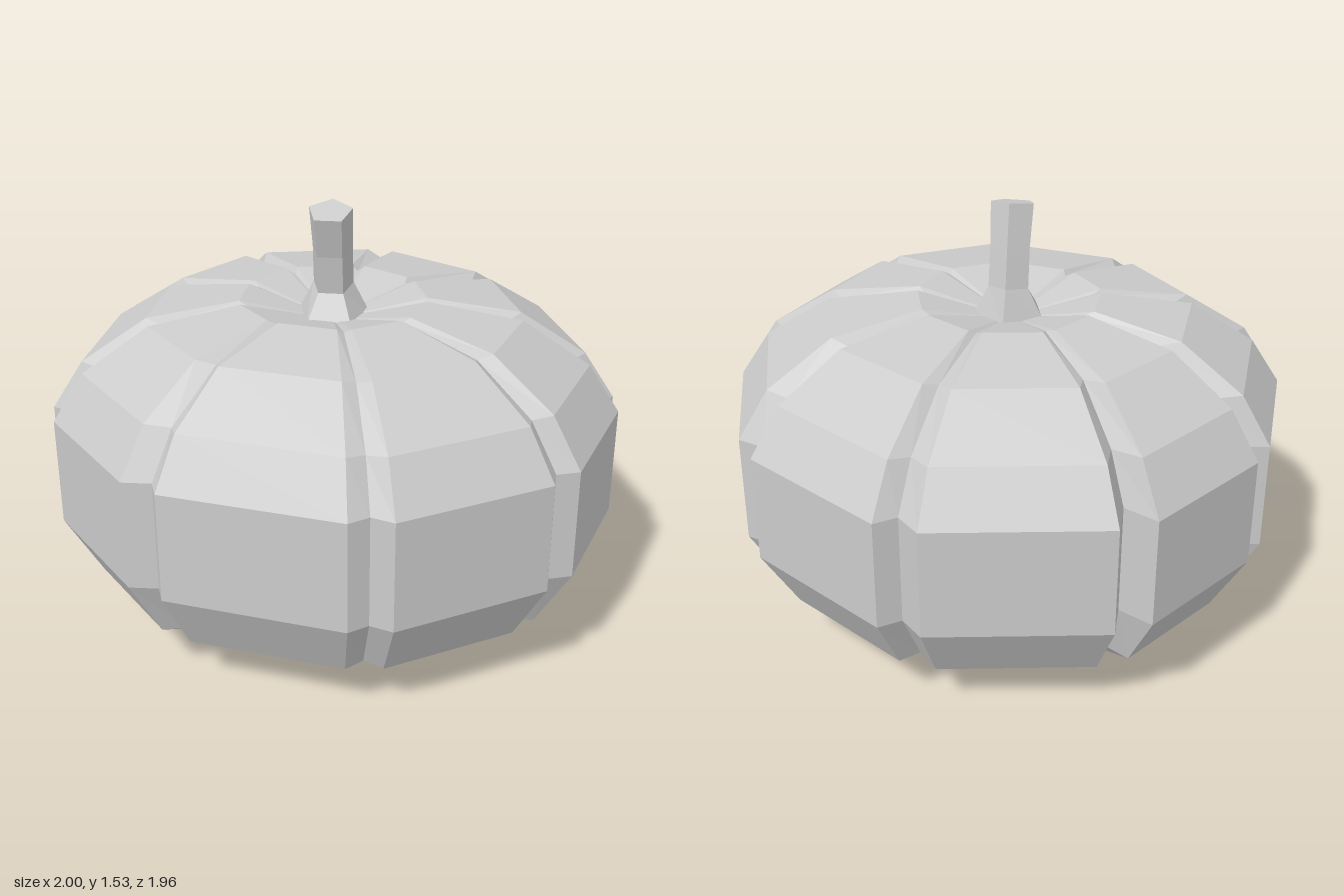
import * as THREE from 'three';

const CX = -0.03, CZ = 0.03; // axis of the pumpkin

// Flat-shaded skin over a stack of rings (bottom to top, clockwise from above)
function loft(rings, name) {
  const pos = [];
  const tri = (a, b, c) => {
    if (a.distanceTo(b) > 1e-5 && b.distanceTo(c) > 1e-5 && c.distanceTo(a) > 1e-5) {
      for (const p of [a, b, c]) pos.push(p.x, p.y, p.z);
    }
  };
  for (let i = 0; i < rings.length - 1; i++) {
    const lo = rings[i], hi = rings[i + 1], n = lo.length;
    for (let j = 0; j < n; j++) {
      const k = (j + 1) % n;
      tri(lo[j], hi[j], hi[k]);
      tri(lo[j], hi[k], lo[k]);
    }
  }
  const geo = new THREE.BufferGeometry();
  geo.setAttribute('position', new THREE.Float32BufferAttribute(pos, 3));
  geo.computeVertexNormals();
  const mesh = new THREE.Mesh(geo, new THREE.MeshStandardMaterial({ color: 0xcccccc, flatShading: true }));
  mesh.name = name;
  return mesh;
}

// Nine uneven ribs at the equator: first corner, second corner, groove after the rib (x, z)
const OUTLINE = [
  [-0.545, -0.855], [0.06, -0.99], [0.14, -0.915],
  [0.21, -0.968], [0.72, -0.663], [0.705, -0.578],
  [0.807, -0.545], [0.984, -0.043], [0.93, 0.016],
  [0.995, 0.08], [0.845, 0.556], [0.765, 0.583],
  [0.76, 0.658], [0.278, 0.952], [0.198, 0.925],
  [0.134, 0.973], [-0.487, 0.866], [-0.513, 0.797],
  [-0.615, 0.802], [-0.963, 0.401], [-0.9, 0.326],
  [-1, 0.283], [-0.984, -0.235], [-0.877, -0.257],
  [-0.947, -0.353], [-0.658, -0.78], [-0.54, -0.72],
];

// Height, scale of the outline, vertical sink of the grooves
const PROFILE = [
  [0.04, 0, 0], [0, 0.31, 0.012], [0.055, 0.585, 0.015], [0.19, 0.87, 0.01],
  [0.42, 1, 0], [0.815, 1, 0],
  [0.985, 0.89, -0.01], [1.137, 0.657, -0.015], [1.185, 0.33, -0.015], [1.1, 0, 0],
];

// Height, centre z, radius, tilt (rise towards the back)
const STEM = [
  [1.11, 0.03, 0.137, 0], [1.225, 0.018, 0.075, 0.2], [1.365, 0.045, 0.074, 0.2],
  [1.515, 0.088, 0.08, 0.24], [1.515, 0.088, 0, 0],
];

export function createModel() {
  const group = new THREE.Group();
  group.name = 'pumpkin';

  // Ribbed body, sunken at both poles
  const bodyRings = PROFILE.map(([y, s, sink]) => OUTLINE.map(([x, z], j) =>
    new THREE.Vector3(CX + (x - CX) * s, y + (j % 3 === 2 ? sink : 0), CZ + (z - CZ) * s)));
  group.add(loft(bodyRings, 'body'));

  // Five-sided stem with a flared foot, leaning forward
  const stemRings = STEM.map(([y, cz, r, tilt]) => Array.from({ length: 5 }, (_, j) => {
    const a = (j / 5) * Math.PI * 2;
    const dz = -Math.cos(a) * r;
    return new THREE.Vector3(CX + Math.sin(a) * r, y - dz * tilt, cz + dz);
  }));
  group.add(loft(stemRings, 'stem'));

  return group;
}
